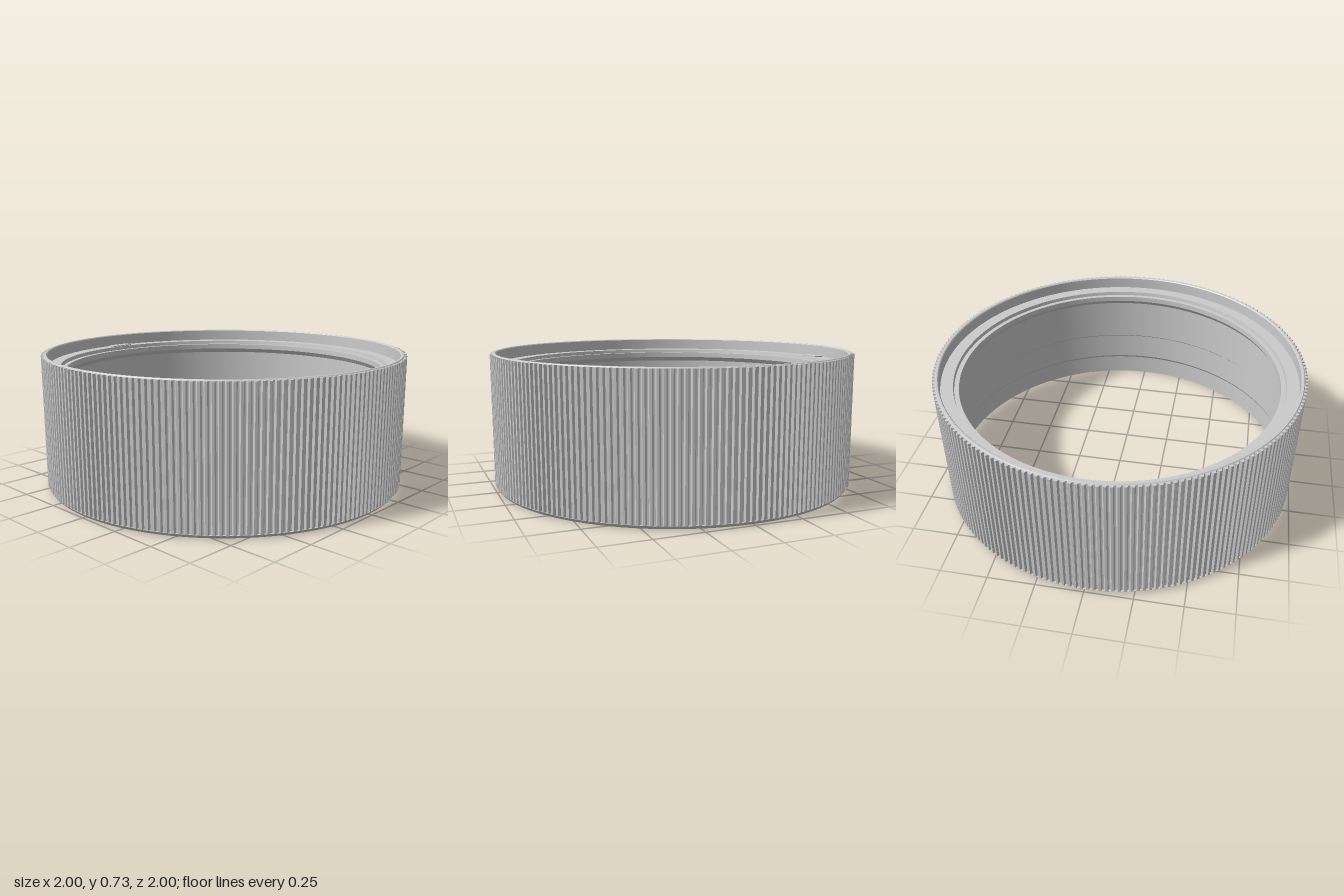
import * as THREE from 'three';
import { toCreasedNormals } from 'three/addons/utils/BufferGeometryUtils.js';

const TEETH = 200;

// Closed ring section as [radius, height]: up the outside, down the inside
const SECTION = [
  [0.97, 0], [0.978, 0], [0.986, 0.01], [0.986, 0.722], [0.982, 0.727],
  [0.972, 0.727], [0.967, 0.722], [0.967, 0.66],  // rim and recess wall
  [0.9, 0.66], [0.897, 0.64], [0.872, 0.64],      // seat ledge and small step
  [0.872, 0.61], [0.89, 0.585], [0.95, 0.585],    // lip underside
  [0.95, 0.306], [0.961, 0.296],                  // bore, widening in steps
  [0.961, 0.135], [0.97, 0.12], [0.97, 0],
];

function createKnurl(bottom, top) {
  const outline = [];
  const pitch = (Math.PI * 2) / TEETH;
  // Each tooth: root, flank, tip, flank
  const tooth = [[0, 0.987], [0.22, 0.987], [0.42, 1], [0.8, 1]];
  for (let i = 0; i < TEETH; i++) {
    for (const [t, r] of tooth) {
      const a = (i + t) * pitch;
      outline.push(new THREE.Vector2(r * Math.cos(a), r * Math.sin(a)));
    }
  }
  const shape = new THREE.Shape(outline);
  const hole = new THREE.Path();
  hole.absarc(0, 0, 0.978, 0, Math.PI * 2, true);
  shape.holes.push(hole);
  const geometry = new THREE.ExtrudeGeometry(shape, {
    depth: top - bottom, bevelEnabled: false, curveSegments: 100,
  });
  geometry.rotateX(-Math.PI / 2);
  geometry.translate(0, bottom, 0);

  // Taper the bottom of the teeth into the chamfer
  const p = geometry.attributes.position;
  for (let i = 0; i < p.count; i++) {
    const r = Math.hypot(p.getX(i), p.getZ(i));
    if (p.getY(i) < bottom + 0.001 && r > 0.98) {
      p.setXYZ(i, p.getX(i) * 0.998, p.getY(i), p.getZ(i) * 0.998);
    }
  }
  geometry.computeVertexNormals();
  return geometry;
}

export function createModel() {
  const model = new THREE.Group();
  model.name = 'knurledRing';
  const material = new THREE.MeshStandardMaterial({ color: 0xcccccc });
  const add = (name, geometry) => {
    const mesh = new THREE.Mesh(geometry, material);
    mesh.name = name;
    model.add(mesh);
    return mesh;
  };

  // Hollow ring body with stepped bore
  const points = SECTION.map(([r, y]) => new THREE.Vector2(r, y));
  add('ringBody', toCreasedNormals(new THREE.LatheGeometry(points, 160), 0.3));

  // Vertical grip ridges
  add('gripRidges', createKnurl(0.018, 0.722));

  // Chamfer under the ridges
  const chamfer = [[0.978, 0.002], [0.984, 0.002], [0.996, 0.018], [0.978, 0.018]];
  add('bottomChamfer', toCreasedNormals(
    new THREE.LatheGeometry(chamfer.map(([r, y]) => new THREE.Vector2(r, y)), 160), 0.3));

  // Small index pad on the ledge at the back
  add('indexPad', new THREE.BoxGeometry(0.14, 0.012, 0.05)).position.set(0, 0.66, -0.932);

  return model;
}
